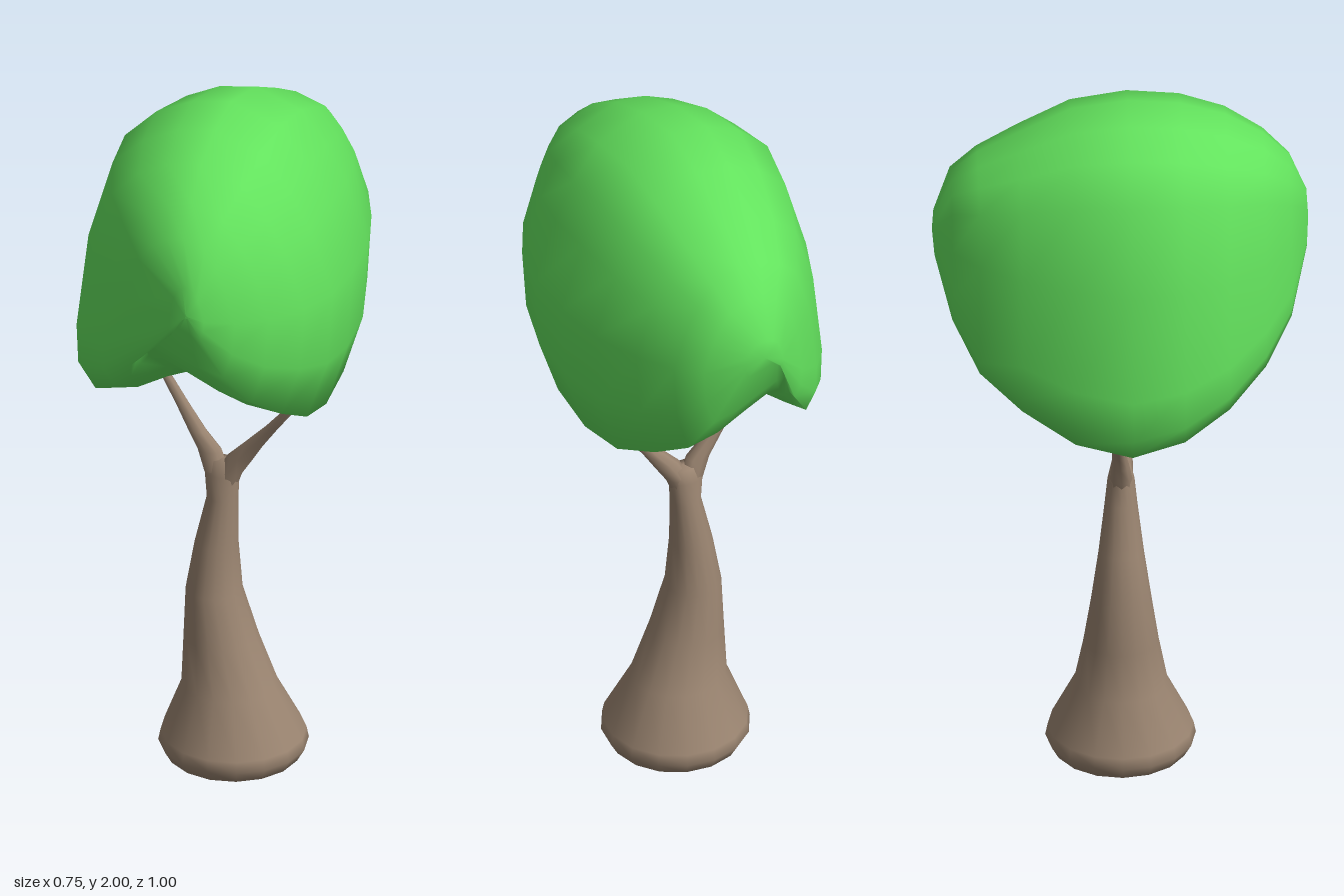
import * as THREE from 'three';
import { mergeVertices } from 'three/addons/utils/BufferGeometryUtils.js';

// Skins a list of closed rings (arrays of [x, y, z]) with smooth normals
function skin(rings) {
  const n = rings[0].length;
  const index = [];
  for (let i = 0; i < rings.length - 1; i++) {
    for (let j = 0; j < n; j++) {
      const k = (j + 1) % n;
      const a = i * n + j, b = i * n + k, c = b + n, d = a + n;
      index.push(a, d, c, a, c, b);
    }
  }
  let geo = new THREE.BufferGeometry();
  geo.setAttribute('position', new THREE.Float32BufferAttribute(rings.flat(2), 3));
  geo.setIndex(index);
  geo = mergeVertices(geo, 1e-5);
  geo.computeVertexNormals();
  return geo;
}

// Upright limb from sections [x, y, z, radius x, radius z]
function limb(sections, sides) {
  return skin(sections.map(([x, y, z, rx, rz]) =>
    Array.from({ length: sides }, (_, j) => {
      const a = (j / sides) * Math.PI * 2;
      return [x + rx * Math.cos(a), y, z + rz * Math.sin(a)];
    })));
}

// Arched middle section of the crown, relative to its centre, clockwise
const ARCH = [
  [0.03, 0.4], [0.17, 0.35], [0.25, 0.25], [0.31, 0.14], [0.375, -0.05], [0.36, -0.28],
  [0.3, -0.465], [0.2, -0.465], [0.1, -0.42], [0.03, -0.39], [-0.03, -0.39], [-0.1, -0.42],
  [-0.19, -0.47], [-0.32, -0.495], [-0.37, -0.42], [-0.375, -0.3], [-0.34, 0.0],
  [-0.27, 0.24], [-0.18, 0.33], [-0.08, 0.38],
];

// Extents of the crown from back to front: z, min x, max x, top, bottom
const SLICES = [
  [-0.5, 0.06, 0.06, 1.6, 1.6],
  [-0.495, 0.0, 0.12, 1.65, 1.55],
  [-0.45, -0.085, 0.22, 1.765, 1.39],
  [-0.38, -0.175, 0.27, 1.83, 1.27],
  [-0.27, -0.26, 0.32, 1.895, 1.195],
  [-0.13, -0.33, 0.362, 1.97, 1.125],
  [0.02, -0.375, 0.375, 2.0, 1.105],
  [0.16, -0.355, 0.37, 1.985, 1.14],
  [0.28, -0.3, 0.335, 1.945, 1.21],
  [0.38, -0.2, 0.27, 1.88, 1.29],
  [0.45, -0.115, 0.2, 1.81, 1.4],
  [0.495, 0.03, 0.13, 1.69, 1.54],
  [0.5, 0.08, 0.08, 1.61, 1.61],
];

// Fits the arch to each slice; towards front and back its notch closes faster
// and drifts sideways, so one lobe is larger than the other
function crownGeometry() {
  return skin(SLICES.map(([z, x0, x1, top, bottom]) => {
    const s = (x1 - x0) / 0.75;
    const fold = (z > 0 ? 0.5 : 0.35) * (1 - s);
    return ARCH.map(([x, y]) => {
      const notch = y < -0.3 ? Math.max(0, 1 - Math.abs(x) / 0.3) : 0;
      const px = (x0 + x1) / 2 + (x - 0.4 * (1 - s) * notch) * s;
      const py = y > 0 ? (y / 0.4) * (top - 1.6) : (y / 0.495) * (1.6 - bottom);
      return [px, 1.6 + py * (1 - notch * fold), z];
    });
  }));
}

export function createModel() {
  const tree = new THREE.Group();
  tree.name = 'tree';
  const bark = new THREE.MeshStandardMaterial({ color: 0x9b8571 });
  const leaves = new THREE.MeshStandardMaterial({ color: 0x63e25d });
  const add = (name, geo, mat) => {
    const mesh = new THREE.Mesh(geo, mat);
    mesh.name = name;
    tree.add(mesh);
  };

  // Flared, slightly leaning trunk
  add('trunk', limb([
    [0.03, 0.0, 0, 0, 0],
    [0.03, 0.005, 0, 0.11, 0.11],
    [0.03, 0.025, 0, 0.18, 0.18],
    [0.03, 0.06, 0, 0.2, 0.2],
    [0.03, 0.09, 0, 0.194, 0.194],
    [0.02, 0.23, 0, 0.13, 0.125],
    [-0.005, 0.37, 0, 0.1, 0.1],
    [-0.025, 0.51, 0, 0.075, 0.08],
    [-0.018, 0.65, 0, 0.058, 0.06],
    [-0.001, 0.79, 0, 0.042, 0.043],
    [-0.002, 0.86, 0, 0.048, 0.036],
    [0.005, 0.9, 0, 0.04, 0.026],
    [0.008, 0.905, 0, 0, 0],
  ], 16), bark);

  // Forked branches reaching into the two lobes of the crown
  add('leftBranch', limb([
    [0.0, 0.8, 0, 0.03, 0.03],
    [0.022, 0.87, 0.003, 0.034, 0.03],
    [0.052, 0.92, 0.008, 0.036, 0.024],
    [0.092, 0.97, 0.016, 0.027, 0.019],
    [0.15, 1.04, 0.03, 0.018, 0.014],
    [0.23, 1.14, 0.052, 0.013, 0.01],
    [0.26, 1.25, 0.06, 0, 0],
  ], 8), bark);
  add('rightBranch', limb([
    [0.0, 0.8, 0, 0.03, 0.03],
    [-0.022, 0.87, 0, 0.034, 0.03],
    [-0.038, 0.92, -0.003, 0.036, 0.024],
    [-0.075, 0.97, -0.007, 0.027, 0.019],
    [-0.12, 1.04, -0.013, 0.02, 0.014],
    [-0.185, 1.14, -0.022, 0.014, 0.01],
    [-0.22, 1.25, -0.025, 0, 0],
  ], 8), bark);

  add('crown', crownGeometry(), leaves);
  return tree;
}
